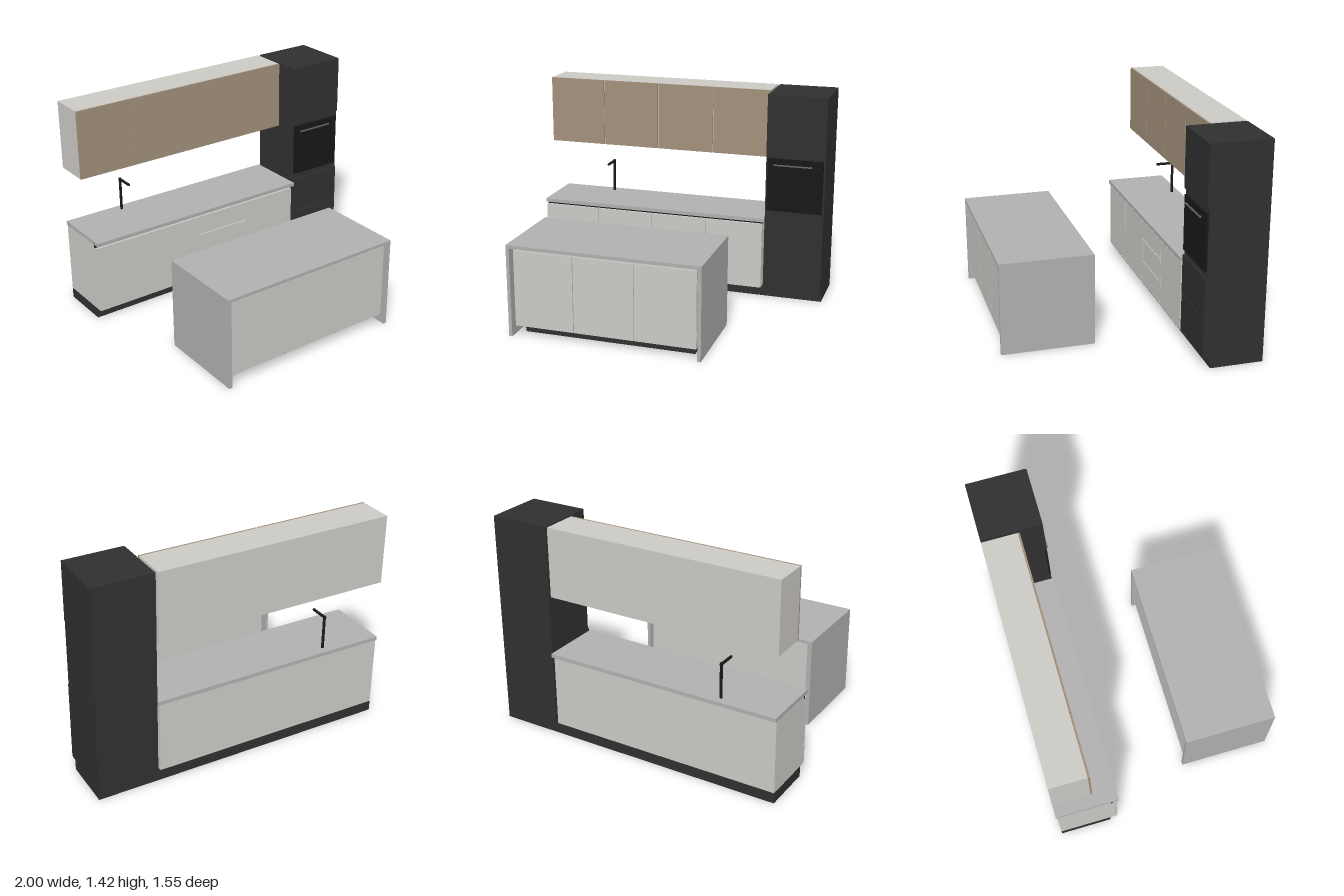
import * as THREE from 'three';

const mat = (color) => new THREE.MeshStandardMaterial({ color });

export function createModel() {
  const kitchen = new THREE.Group();
  kitchen.name = 'kitchen';
  const light = mat(0xcccac5), stone = mat(0xb0b0b0), wood = mat(0xa3917b);
  const dark = mat(0x303030), black = mat(0x181818), metal = mat(0x666666);

  const section = (name) => {
    const g = new THREE.Group();
    g.name = name;
    kitchen.add(g);
    return g;
  };

  // Box given by its [min, max] range on each axis
  const box = (parent, name, material, [x0, x1], [y0, y1], [z0, z1]) => {
    const m = new THREE.Mesh(new THREE.BoxGeometry(x1 - x0, y1 - y0, z1 - z0), material);
    m.position.set((x0 + x1) / 2, (y0 + y1) / 2, (z0 + z1) / 2);
    m.name = name;
    parent.add(m);
  };

  // Row of equal fronts separated by narrow gaps; cuts(i) lists the heights of each column
  const GAP = 0.006;
  const fronts = (parent, name, material, count, [x0, x1], z, cuts) => {
    const step = (x1 - x0 + GAP) / count;
    for (let i = 0; i < count; i++) {
      const x = x0 + i * step, ys = cuts(i);
      for (let j = 0; j < ys.length - 1; j++) {
        const top = ys[j + 1] - (j < ys.length - 2 ? GAP : 0);
        box(parent, ys.length > 2 ? 'drawerFront' : name, material, [x, x + step - GAP], [ys[j], top], z);
      }
    }
  };

  // Base run along the wall
  const base = section('baseCabinets');
  box(base, 'basePlinth', dark, [-1, 0.6], [0, 0.07], [-0.765, -0.42]);
  box(base, 'baseCarcass', light, [-1, 0.585], [0.07, 0.53], [-0.765, -0.382]);
  box(base, 'upperCarcass', light, [-1, 0.585], [0.53, 0.55], [-0.765, -0.41]);
  box(base, 'gripRecess', black, [-1, 0.585], [0.53, 0.55], [-0.41, -0.395]);
  fronts(base, 'baseDoor', light, 4, [-1, 0.585], [-0.38, -0.37],
    (i) => (i === 2 ? [0.072, 0.24, 0.4, 0.533] : [0.072, 0.533]));
  box(base, 'worktop', stone, [-1, 0.6], [0.55, 0.575], [-0.775, -0.357]);

  // Tap: upright pipe with a spout toward the front
  const tap = section('tap');
  const pipe = (name, length) => {
    const m = new THREE.Mesh(new THREE.CylinderGeometry(0.009, 0.009, length, 20), black);
    m.name = name;
    tap.add(m);
    return m;
  };
  pipe('tapPost', 0.23).position.set(-0.61, 0.69, -0.72);
  const spout = pipe('tapSpout', 0.125);
  spout.rotation.x = Math.PI / 2;
  spout.position.set(-0.61, 0.796, -0.665);

  // Wall cabinets
  const wall = section('wallCabinets');
  box(wall, 'wallCarcass', light, [-1, 0.585], [0.967, 1.425], [-0.765, -0.532]);
  box(wall, 'lightBar', metal, [-0.99, 0.575], [0.96, 0.967], [-0.61, -0.59]);
  fronts(wall, 'wallDoor', wood, 4, [-1, 0.585], [-0.53, -0.52], () => [0.967, 1.425]);

  // Tall oven housing
  const tall = section('tallCabinet');
  box(tall, 'tallPlinth', dark, [0.6, 1], [0, 0.07], [-0.765, -0.42]);
  box(tall, 'tallCarcass', dark, [0.6, 1], [0.07, 1.425], [-0.765, -0.382]);
  for (const y of [[0.072, 0.332], [0.338, 0.597], [1.033, 1.425]])
    box(tall, 'tallDoor', dark, [0.602, 0.998], y, [-0.382, -0.37]);
  box(tall, 'ovenDoor', black, [0.612, 0.988], [0.635, 0.997], [-0.382, -0.369]);
  box(tall, 'ovenHandle', metal, [0.655, 0.915], [0.951, 0.959], [-0.363, -0.355]);
  for (const x of [0.67, 0.9])
    box(tall, 'ovenHandlePost', metal, [x - 0.004, x + 0.004], [0.951, 0.959], [-0.37, -0.362]);

  // Island with a stone top and full-height side panels
  const island = section('island');
  box(island, 'islandTop', stone, [-0.775, 0.49], [0.588, 0.61], [0.165, 0.77]);
  for (const x of [-0.775, 0.468])
    box(island, 'islandSidePanel', stone, [x, x + 0.022], [0, 0.588], [0.165, 0.77]);
  box(island, 'islandPlinth', dark, [-0.705, 0.425], [0, 0.07], [0.225, 0.665]);
  box(island, 'islandCarcass', light, [-0.735, 0.455], [0.07, 0.575], [0.185, 0.738]);
  fronts(island, 'islandDoor', light, 3, [-0.735, 0.455], [0.74, 0.75], () => [0.07, 0.572]);

  return kitchen;
}
